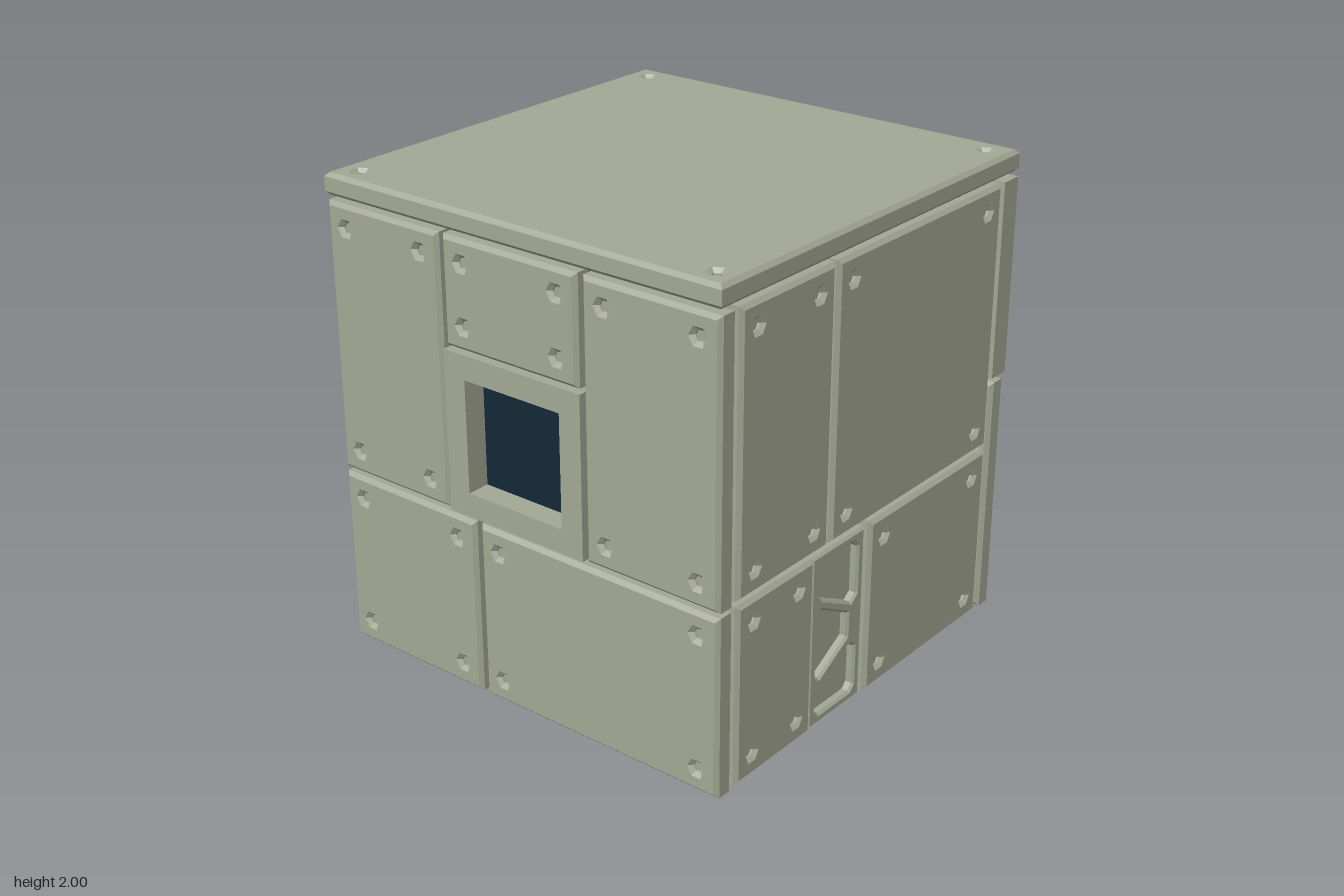
import * as THREE from 'three';

const panelMat = new THREE.MeshStandardMaterial({ color: 0xa3a794 });
const coreMat = new THREE.MeshStandardMaterial({ color: 0x132836, side: THREE.DoubleSide });

const BACK = 0.85, FRONT = 0.94, BEVEL = 0.016, INSET = 0.095;

const poly = (pts) => pts.map(([x, y]) => new THREE.Vector2(x, y));
const rect = (u0, u1, v0, v1) => poly([[u0, v0], [u1, v0], [u1, v1], [u0, v1]]);
const hexagon = (u, v, r) => Array.from({ length: 6 }, (_, i) =>
  new THREE.Vector2(u + r * Math.cos(i * Math.PI / 3), v + r * Math.sin(i * Math.PI / 3)));

function add(group, name, geometry, material = panelMat) {
  const mesh = new THREE.Mesh(geometry, material);
  mesh.name = name;
  group.add(mesh);
  return mesh;
}

// Plate between two depths; a bevel chamfers the outline and widens the holes at the faces
function plate(outline, holes, z0, z1, bevel = 0) {
  const shape = new THREE.Shape(outline);
  shape.holes = holes.map((h) => new THREE.Path(h));
  const geo = new THREE.ExtrudeGeometry(shape, {
    depth: z1 - z0 - 2 * bevel, bevelEnabled: bevel > 0, bevelSegments: 1,
    bevelSize: bevel, bevelThickness: bevel,
  });
  return geo.translate(0, 0, z0 + bevel);
}

// Chamfered panel with a sunken hexagonal bolt in each corner
function boltedPanel(group, name, u0, u1, v0, v1, z0 = BACK, z1 = FRONT) {
  const panel = new THREE.Group();
  panel.name = name;
  const spots = [];
  for (const u of [u0 + INSET, u1 - INSET]) {
    for (const v of [v0 + INSET, v1 - INSET]) spots.push([u, v]);
  }
  const outline = rect(u0 + BEVEL, u1 - BEVEL, v0 + BEVEL, v1 - BEVEL);
  add(panel, 'panelPlate', plate(outline, spots.map(([u, v]) => hexagon(u, v, 0.042)), z0, z1, BEVEL));
  for (const [u, v] of spots) {
    add(panel, 'boltSocket', new THREE.CircleGeometry(0.026, 6)).position.set(u, v, z1 - 0.024);
  }
  group.add(panel);
}

// Plain square-edged frame around an opening
function windowFrame(group, u0, u1, v0, v1, w = 0.09) {
  const hole = rect(u0 + w, u1 - w, v0 + w, v1 - w);
  add(group, 'windowFrame', plate(rect(u0, u1, v0, v1), [hole], 0.842, FRONT));
}

// Narrow panel with three recessed pockets
function trussPanel(group) {
  const pockets = [
    [[-0.317, 0.676], [-0.286, 0.713], [-0.074, 0.713], [-0.042, 0.676],
      [-0.042, 0.464], [-0.085, 0.432], [-0.286, 0.533], [-0.317, 0.57]],
    [[-0.317, 0.5], [-0.286, 0.51], [-0.095, 0.41], [-0.095, 0.295], [-0.286, 0.188], [-0.317, 0.21]],
    [[-0.317, 0.13], [-0.286, 0.165], [-0.085, 0.268], [-0.042, 0.24],
      [-0.042, 0.06], [-0.074, 0.03], [-0.286, 0.03], [-0.317, 0.06]],
  ].map(poly);
  const b = 0.01;
  add(group, 'trussPanel', plate(rect(-0.35 + b, -0.01 - b, b, 0.74 - b), pockets, 0.87, 0.92, b));
  add(group, 'trussBacking', plate(rect(-0.35, -0.01, 0, 0.74), [], 0.842, 0.885));
}

export function createModel() {
  const model = new THREE.Group();
  model.name = 'panelledCube';

  // Hollow dark core, open at the bottom
  const core = new THREE.BoxGeometry(1.68, 1.91, 1.68).translate(0, 0.955, 0);
  const index = Array.from(core.index.array);
  index.splice(18, 6);
  core.setIndex(index);
  core.clearGroups();
  add(model, 'core', core, coreMat);

  const face = (name, angle) => {
    const g = new THREE.Group();
    g.name = name;
    g.rotation.y = angle;
    model.add(g);
    return g;
  };

  const front = face('frontFace', 0);
  boltedPanel(front, 'upperPanel', -0.83, -0.285, 0.777, 1.89);
  boltedPanel(front, 'upperPanel', -0.268, 0.825, 0.777, 1.89);
  boltedPanel(front, 'lowerPanel', -0.83, -0.365, 0.01, 0.757);
  boltedPanel(front, 'lowerPanel', 0, 0.825, 0.01, 0.757);
  trussPanel(front);

  // +x side: local u runs toward -z
  const left = face('leftFace', Math.PI / 2);
  windowFrame(left, -0.94, 0.13, 1.065, 1.89);
  boltedPanel(left, 'upperPanel', 0.15, 0.937, 1.065, 1.89);
  boltedPanel(left, 'lowerPanel', -0.937, -0.218, 0.01, 1.038);
  boltedPanel(left, 'lowerPanel', -0.195, 0.937, 0.01, 1.038);

  // Back: local u runs toward -x
  const back = face('backFace', Math.PI);
  boltedPanel(back, 'upperPanel', -0.825, 0.01, 1.045, 1.89);
  boltedPanel(back, 'lowerPanel', -0.825, 0.005, 0.01, 1.02);
  windowFrame(back, 0.02, 0.845, 0.665, 1.89);
  boltedPanel(back, 'lowerPanel', 0.025, 0.825, 0.01, 0.645);

  // -x side: local u runs toward +z
  const right = face('rightFace', -Math.PI / 2);
  boltedPanel(right, 'upperPanel', -0.937, -0.36, 0.777, 1.89);
  boltedPanel(right, 'smallPanel', -0.34, 0.305, 1.455, 1.89);
  windowFrame(right, -0.35, 0.315, 0.775, 1.44, 0.1);
  boltedPanel(right, 'upperPanel', 0.33, 0.937, 0.777, 1.89);
  boltedPanel(right, 'lowerPanel', -0.937, -0.23, 0.01, 0.757);
  boltedPanel(right, 'lowerPanel', -0.205, 0.937, 0.01, 0.757);

  // Lid
  const lid = new THREE.Group();
  lid.name = 'lid';
  lid.rotation.x = -Math.PI / 2;
  boltedPanel(lid, 'lidPanel', -0.94, 0.94, -0.94, 0.94, 1.91, 2);
  model.add(lid);

  return model;
}
